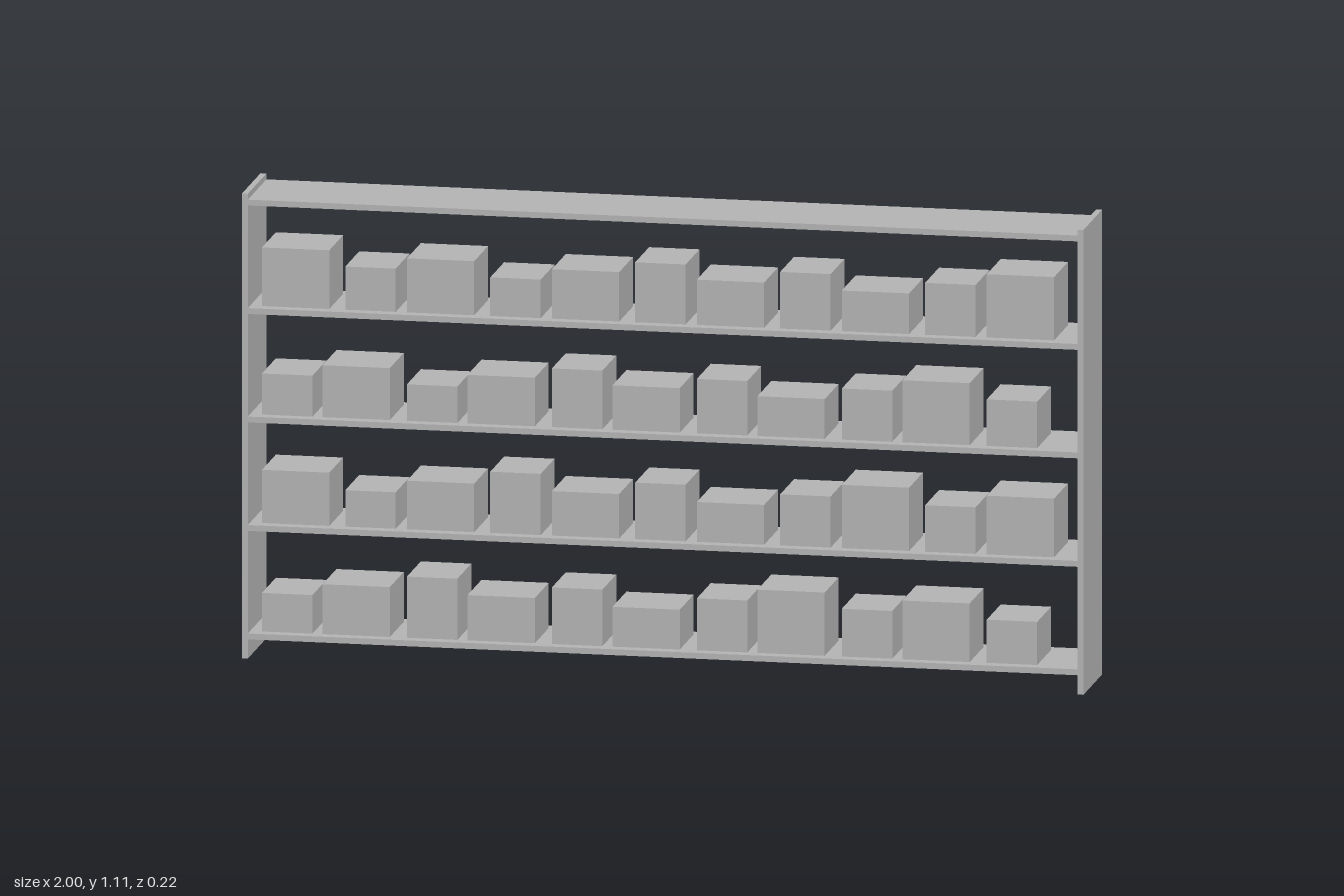
import * as THREE from 'three';

const grey = new THREE.MeshStandardMaterial({ color: 0xb2b2b2 });
grey.name = 'plain grey';

const HEIGHT = 1.11, DEPTH = 0.222, BOARD = 0.014;
const SHELF_Y = 0.053, SHELF_STEP = 0.259;
const BOX_DEPTH = 0.166, WIDE = 0.16, NARROW = 0.12;

// Box heights on each loaded shelf, bottom shelf first, from right (-x) to left (+x)
const BOX_HEIGHTS = [
  [0.092, 0.119, 0.146, 0.108, 0.135, 0.095, 0.124, 0.151, 0.114, 0.14, 0.103],
  [0.127, 0.087, 0.116, 0.146, 0.106, 0.135, 0.095, 0.122, 0.151, 0.111, 0.14],
  [0.098, 0.124, 0.087, 0.116, 0.14, 0.106, 0.13, 0.095, 0.122, 0.148, 0.111],
  [0.14, 0.103, 0.129, 0.092, 0.118, 0.143, 0.108, 0.135, 0.097, 0.124, 0.151],
];

function addBox(parent, name, w, h, d, x, y, z = 0) {
  const mesh = new THREE.Mesh(new THREE.BoxGeometry(w, h, d), grey);
  mesh.name = name;
  mesh.position.set(x, y, z);
  parent.add(mesh);
}

export function createModel() {
  const model = new THREE.Group();
  model.name = 'stockedShelfUnit';

  // Upright end panels
  for (const side of [-1, 1]) {
    addBox(model, side > 0 ? 'leftPanel' : 'rightPanel',
      BOARD, HEIGHT, DEPTH, side * (1 - BOARD / 2), HEIGHT / 2);
  }

  // Five boards between the panels
  for (let i = 0; i < 5; i++) {
    addBox(model, i === 4 ? 'topBoard' : 'shelf',
      2 - 2 * BOARD, BOARD, DEPTH, 0, SHELF_Y + i * SHELF_STEP);
  }

  // Rows of boxes, alternating wide and narrow
  BOX_HEIGHTS.forEach((heights, row) => {
    const boxes = new THREE.Group();
    boxes.name = 'boxRow';
    const shelfTop = SHELF_Y + row * SHELF_STEP + BOARD / 2;
    const wideFirst = row % 2 === 1;
    heights.forEach((h, i) => {
      const wide = (i % 2 === 0) === wideFirst;
      const w = wide ? WIDE : NARROW;
      const offset = i % 2 === 0 ? 0 : (wideFirst ? 0.198 : 0.144);
      const left = -0.958 + Math.floor(i / 2) * 0.3445 + offset;
      addBox(boxes, 'storageBox', w, h, BOX_DEPTH, left + w / 2, shelfTop + h / 2);
    });
    model.add(boxes);
  });

  return model;
}
